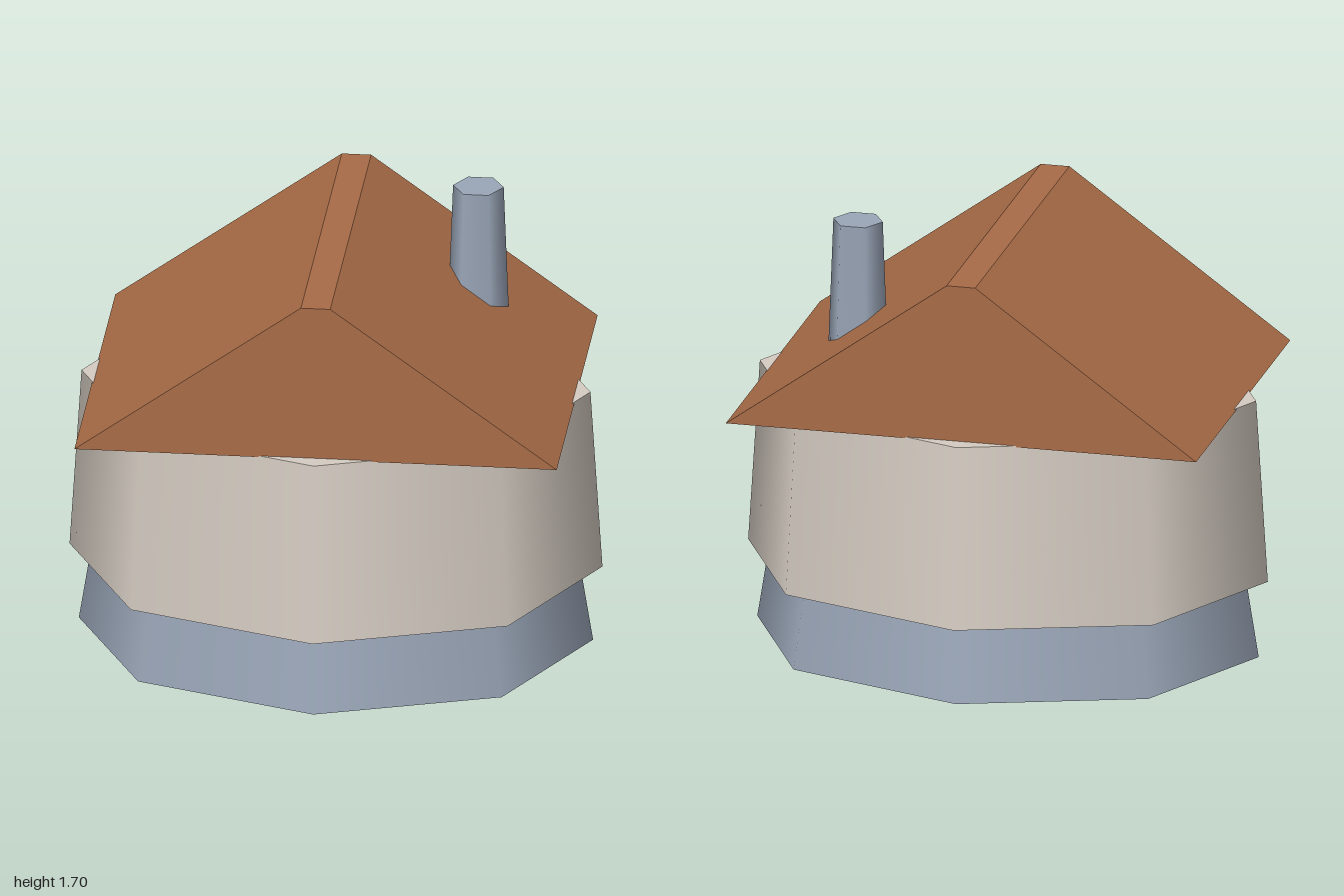
import * as THREE from 'three';

export function createModel() {
  const house = new THREE.Group();
  house.name = 'house';

  const material = (name, color) => {
    const m = new THREE.MeshStandardMaterial({ color });
    m.name = name;
    return m;
  };
  const stone = material('blue grey stone', 0x9aa6b8);
  const plaster = material('cream plaster', 0xd6cdc3);
  const tile = material('brown roof', 0xa86c47);

  const add = (name, geometry, mat) => {
    const mesh = new THREE.Mesh(geometry, mat);
    mesh.name = name;
    house.add(mesh);
    return mesh;
  };

  // Tapered eight-sided drum, squeezed along z, standing between two heights
  const drum = (topRadius, bottomRadius, y0, y1) =>
    new THREE.CylinderGeometry(topRadius, bottomRadius, y1 - y0, 8)
      .scale(1, 1, 0.827)
      .translate(0, (y0 + y1) / 2, 0);

  add('foundation', drum(0.915, 0.965, 0, 0.31), stone);
  add('wall', drum(0.955, 1, 0.3, 1.01), plaster);

  // Gabled roof with a narrow flat ridge
  const gable = new THREE.Shape([
    new THREE.Vector2(-0.905, 1.005),
    new THREE.Vector2(0.905, 1.005),
    new THREE.Vector2(0.055, 1.62),
    new THREE.Vector2(-0.055, 1.62),
  ]);
  const roofDepth = 1.434;
  add(
    'roof',
    new THREE.ExtrudeGeometry(gable, { depth: roofDepth, bevelEnabled: false })
      .translate(0, 0, -roofDepth / 2),
    tile
  );

  // Six-sided chimney rising through the +x roof slope
  const chimney = add(
    'chimney',
    new THREE.CylinderGeometry(0.095, 0.12, 0.65, 6).rotateY(Math.PI / 6),
    stone
  );
  chimney.position.set(0.503, 1.375, -0.293);

  return house;
}
